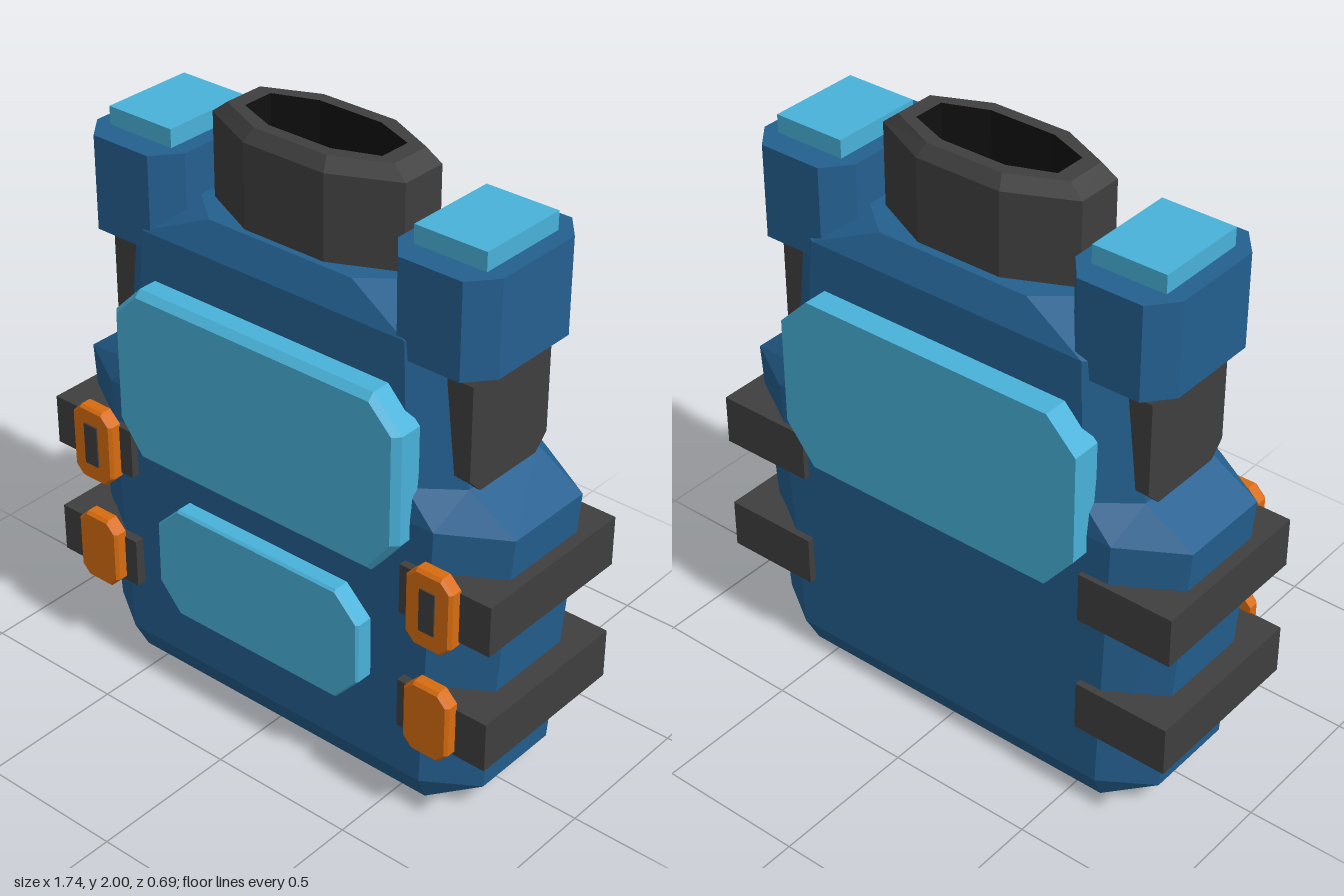
import * as THREE from 'three';

const mat = (name, color) => {
  const m = new THREE.MeshStandardMaterial({ color });
  m.name = name;
  return m;
};

// Eight-cornered ring at height y: half sizes hw/hd, flat edges reach cx/cz (cz2 on the -z side)
function oct(y, hw, hd, cx, cz, cz2 = cz, dz = 0) {
  return [[-cx, hd], [cx, hd], [hw, cz], [hw, -cz2], [cx, -hd], [-cx, -hd], [-hw, -cz2], [-hw, cz]]
    .map(([x, z]) => [x, y, z + dz]);
}

// Skin a stack of rings; optional caps at the first and last ring
function loft(rings, capStart = true, capEnd = true) {
  const pos = [];
  const tri = (a, b, c) => pos.push(...a, ...b, ...c);
  for (let r = 0; r + 1 < rings.length; r++) {
    const lo = rings[r], hi = rings[r + 1];
    for (let i = 0; i < 8; i++) {
      const j = (i + 1) % 8;
      tri(lo[i], lo[j], hi[j]);
      tri(lo[i], hi[j], hi[i]);
    }
  }
  const last = rings[rings.length - 1];
  for (let i = 1; i < 7; i++) {
    if (capStart) tri(rings[0][0], rings[0][i + 1], rings[0][i]);
    if (capEnd) tri(last[0], last[i], last[i + 1]);
  }
  const g = new THREE.BufferGeometry();
  g.setAttribute('position', new THREE.Float32BufferAttribute(pos, 3));
  g.computeVertexNormals();
  return g;
}

// Chamfered plate facing +z, from z = 0 to depth, with an optional bevelled front
function plate(w, h, depth, chamfer, lowChamfer = chamfer, bevel = 0) {
  const ring = (y, b) => oct(y, w / 2 - b, h / 2 - b, w / 2 - chamfer, h / 2 - lowChamfer, h / 2 - chamfer);
  const rings = [ring(0, 0), ring(depth - bevel, 0)];
  if (bevel) rings.push(ring(depth, bevel));
  return loft(rings).rotateX(Math.PI / 2);
}

export function createModel() {
  const group = new THREE.Group();
  const blue = mat('packBlue', 0x246090);
  const light = mat('panelLightBlue', 0x49b2da);
  const grey = mat('strapGrey', 0x3f3f3f);
  const black = mat('recessBlack', 0x111111);
  const orange = mat('buckleOrange', 0xd86c10);

  const add = (name, geo, m, x = 0, y = 0, z = 0) => {
    const mesh = new THREE.Mesh(geo, m);
    mesh.name = name;
    mesh.position.set(x, y, z);
    group.add(mesh);
    return mesh;
  };
  const box = (w, h, d) => new THREE.BoxGeometry(w, h, d);

  // Main body
  add('body', loft([
    oct(0, 0.66, 0.22, 0.59, 0.08),
    oct(0.095, 0.765, 0.267, 0.6, 0.16),
    oct(1.03, 0.84, 0.28, 0.64, 0.16),
    oct(1.13, 0.67, 0.268, 0.53, 0.16),
    oct(1.59, 0.63, 0.252, 0.5, 0.15),
    oct(1.685, 0.4, 0.205, 0.27, 0.1),
  ].map((ring) => ring.map(([x, y, z]) => [x, y, z - 0.004]))), blue);

  // Hollow collar
  add('collar', loft([
    oct(1.66, 0.36, 0.18, 0.15, 0.08),
    oct(1.96, 0.36, 0.18, 0.15, 0.08),
    oct(2, 0.31, 0.15, 0.135, 0.07),
    oct(2, 0.255, 0.11, 0.115, 0.055),
  ], true, false), grey);
  add('collarOpening', loft([
    oct(2, 0.255, 0.11, 0.115, 0.055),
    oct(1.72, 0.255, 0.11, 0.115, 0.055),
  ], false, false), black);
  add('collarFloor', loft([
    oct(1.71, 0.255, 0.11, 0.115, 0.055),
    oct(1.72, 0.255, 0.11, 0.115, 0.055),
  ]), black);

  // Front and back panels
  add('upperFrontPanel', plate(1.11, 0.6, 0.1, 0.105, 0.13, 0.022), light, 0, 1.14, 0.24);
  add('lowerFrontPanel', plate(0.82, 0.4, 0.08, 0.09, 0.1, 0.008), light, 0, 0.51, 0.25);
  add('backPanel', plate(1.11, 0.6, 0.1, 0.105, 0.13), light, 0, 1.14, -0.245).rotation.y = Math.PI;

  for (const [side, s] of [['left', 1], ['right', -1]]) {
    // Shoulder pods with caps
    add(side + 'Pod', loft([
      oct(1.53, 0.18, 0.245, 0.11, 0.16),
      oct(1.84, 0.18, 0.245, 0.11, 0.16),
    ]), blue, s * 0.58);
    add(side + 'PodCap', box(0.25, 0.07, 0.32), light, s * 0.58, 1.865, 0);

    // Side plates below the pods
    add(side + 'SidePlate', plate(0.36, 0.41, 0.09, 0.05), grey, s * 0.6, 1.33, 0)
      .rotation.y = s * Math.PI / 2;

    // Straps and buckles
    for (const [level, strapY, buckleY, h] of [['Upper', 0.807, 0.805, 0.27], ['Lower', 0.39, 0.408, 0.255]]) {
      add(side + level + 'Strap', box(0.33, 0.17, 0.6), grey, s * 0.705, strapY, 0);
      add(side + level + 'Buckle', plate(0.17, h, 0.045, 0.04, 0.04, 0.01), orange, s * 0.675, buckleY, 0.295);
    }
    add(side + 'BuckleSlot', box(0.055, 0.145, 0.009), grey, s * 0.675, 0.808, 0.3405);
  }
  return group;
}
